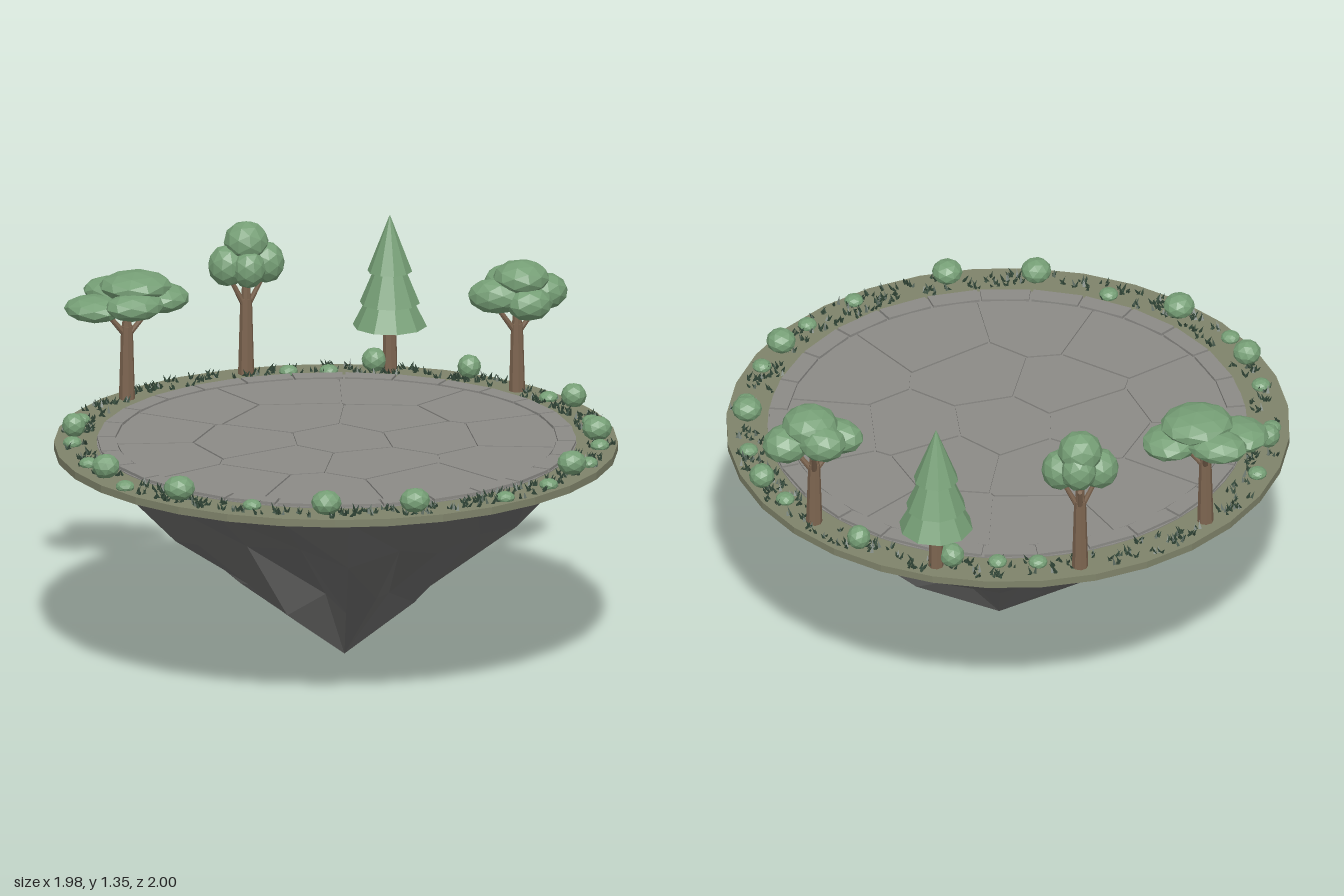
import * as THREE from 'three';
import { mergeGeometries } from 'three/addons/utils/BufferGeometryUtils.js';

const mat = (name, color) => new THREE.MeshStandardMaterial({ name, color, flatShading: true });
const rock = mat('rock', 0x6a6a69);
const soil = mat('mossy soil', 0x7f836a);
const stone = mat('paving stone', 0x8b8a86);
const leaf = mat('foliage', 0x769f76);
const bark = mat('bark', 0x7d6550);
const grassGreen = mat('grass', 0x34493a);

const TAU = Math.PI * 2;
const CZ = 0.01;      // centre of the island in z
const GROUND = 0.775; // top of the soil

function seeded(seed) {
  return () => (seed = (seed * 16807) % 2147483647) / 2147483647;
}

function add(parent, name, geometry, material, x = 0, y = 0, z = 0) {
  const m = new THREE.Mesh(geometry, material);
  m.name = name;
  m.position.set(x, y, z);
  parent.add(m);
  return m;
}

// Flat slab from [x, z] corners, standing between two heights
function slab(points, y0, y1) {
  const s = new THREE.Shape(points.map(([x, z]) => new THREE.Vector2(x, -z)));
  const g = new THREE.ExtrudeGeometry(s, { depth: y1 - y0, bevelEnabled: false });
  return g.rotateX(-Math.PI / 2).translate(0, y0, 0);
}

// Faceted underside: rings of jittered radius that meet in one point
function rockGeometry() {
  const rnd = seeded(77), n = 22, pos = [], idx = [];
  const rings = [[0.75, 0.845, 0, 0], [0.72, 0.845, 0, 0], [0.53, 0.635, 0.06, 0.05], [0.27, 0.315, 0.12, 0.16]];
  rings.forEach(([y, r, jitter, crease], k) => {
    for (let i = 0; i < n; i++) {
      const a = (i / n) * TAU;
      const f = 1 + (rnd() - 0.5) * 2 * jitter + crease * Math.sin(i * 2.1 + k);
      const drop = k > 1 ? (rnd() - 0.5) * 0.07 : 0;
      const shift = 0.03 * (1 - y / 0.75);
      pos.push(shift + Math.cos(a) * r * f, y + drop, CZ * (y / 0.75) + Math.sin(a) * r * f);
    }
  });
  pos.push(0.03, 0, 0);
  const tip = rings.length * n;
  for (let k = 0; k < rings.length; k++) {
    for (let i = 0; i < n; i++) {
      const j = (i + 1) % n, u = k * n, l = u + n;
      if (l === tip) idx.push(u + i, u + j, tip);
      else idx.push(u + i, u + j, l + i, u + j, l + j, l + i);
    }
  }
  const g = new THREE.BufferGeometry();
  g.setAttribute('position', new THREE.Float32BufferAttribute(pos, 3));
  g.setIndex(idx);
  g.computeVertexNormals();
  return g;
}

// Keep the part of a polygon on the near side of the line halfway between a and b, less half a joint
function clip(poly, a, b, gap) {
  const dx = b[0] - a[0], dz = b[1] - a[1], len = Math.hypot(dx, dz);
  const side = p => ((p[0] - a[0]) * dx + (p[1] - a[1]) * dz) / len - len / 2 + gap / 2;
  const out = [];
  poly.forEach((p, i) => {
    const q = poly[(i + 1) % poly.length], sp = side(p), sq = side(q);
    if (sp <= 0) out.push(p);
    if (sp * sq < 0) {
      const t = sp / (sp - sq);
      out.push([p[0] + (q[0] - p[0]) * t, p[1] + (q[1] - p[1]) * t]);
    }
  });
  return out;
}

// Irregular flagstones filling the round floor
function tilesGeometry() {
  const rnd = seeded(5), sites = [[0.02, 0]];
  for (const [n, r, turn] of [[6, 0.32, 0.2], [11, 0.64, 0.1]]) {
    for (let i = 0; i < n; i++) {
      const a = ((i + (rnd() - 0.5) * 0.35) / n) * TAU + turn, d = r + (rnd() - 0.5) * 0.06;
      sites.push([Math.cos(a) * d, Math.sin(a) * d]);
    }
  }
  const circle = Array.from({ length: 56 }, (_, i) => [Math.cos(i / 56 * TAU) * 0.768, Math.sin(i / 56 * TAU) * 0.768]);
  return mergeGeometries(sites.map(s => {
    let p = circle;
    for (const o of sites) if (o !== s) p = clip(p, s, o, 0.008);
    return slab(p, GROUND, 0.784);
  }));
}

// Ring of kerb stones
function kerbGeometry() {
  const n = 28, g = [];
  for (let i = 0; i < n; i++) {
    const a0 = (i / n) * TAU + 0.006, a1 = ((i + 1) / n) * TAU - 0.006;
    g.push(slab([[0.775, a0], [0.838, a0], [0.838, a1], [0.775, a1]]
      .map(([r, a]) => [Math.cos(a) * r, Math.sin(a) * r]), GROUND, 0.788));
  }
  return mergeGeometries(g);
}

// Tufts of three leaning blades scattered over the soil ring
function grassGeometry() {
  const rnd = seeded(31), g = [];
  for (let i = 0; i < 300; i++) {
    const a = rnd() * TAU, r = 0.86 + rnd() * 0.1;
    for (let k = 0; k < 3; k++) {
      const h = 0.018 + rnd() * 0.016;
      g.push(new THREE.ConeGeometry(0.007, h, 3, 1, true).translate(0, h / 2, 0)
        .rotateX(0.3 + rnd() * 0.4).rotateY(rnd() * TAU)
        .translate(Math.cos(a) * r + (rnd() - 0.5) * 0.025, GROUND - 0.002, CZ + Math.sin(a) * r + (rnd() - 0.5) * 0.025));
    }
  }
  return mergeGeometries(g);
}

function blob(parent, name, x, y, z, rx, ry, rz = rx) {
  const m = add(parent, name, new THREE.IcosahedronGeometry(1, 1), leaf, x, y, z);
  m.scale.set(rx, ry, rz);
  m.rotation.y = x * 7 + z * 3;
  return m;
}

// Tapered round limb between two points
function limb(parent, name, a, b, r0, r1) {
  const from = new THREE.Vector3(...a), dir = new THREE.Vector3(...b).sub(from), len = dir.length();
  const m = add(parent, name, new THREE.CylinderGeometry(r1, r0, len, 8), bark);
  m.position.copy(from).addScaledVector(dir, 0.5);
  m.quaternion.setFromUnitVectors(new THREE.Vector3(0, 1, 0), dir.normalize());
}

// Tree with a forked trunk; crown blobs are [dx, y, dz, rx, ry, rz]
function leafyTree(parent, name, x, z, fork, reach, crown) {
  const t = new THREE.Group();
  t.name = name;
  t.position.set(x, 0, z);
  limb(t, 'trunk', [0, GROUND - 0.01, 0], [0, fork, 0], 0.029, 0.021);
  limb(t, 'trunkTop', [0, fork - 0.01, 0], [0, fork + 0.1, 0], 0.018, 0.012);
  for (const [dx, dz] of [[-1, 0.2], [1, 0.1], [0.1, -0.8]])
    limb(t, 'branch', [0, fork - 0.04, 0], [dx * reach, fork + 0.06, dz * reach], 0.011, 0.008);
  for (const b of crown) blob(t, 'crown', ...b);
  parent.add(t);
}

export function createModel() {
  const island = new THREE.Group();
  island.name = 'floatingIsland';

  // Base and floor
  add(island, 'rockUnderside', rockGeometry(), rock);
  add(island, 'soilDisc', new THREE.CylinderGeometry(0.988, 0.988, 0.027, 32), soil, -0.002, GROUND - 0.0135, CZ);
  add(island, 'floorBed', new THREE.CylinderGeometry(0.84, 0.84, 0.004, 56), stone, 0, GROUND + 0.001, CZ);
  add(island, 'flagstones', tilesGeometry(), stone, 0, 0, CZ);
  add(island, 'kerbStones', kerbGeometry(), stone, 0, 0, CZ);
  add(island, 'grass', grassGeometry(), grassGreen);

  // Forked trees along the back
  leafyTree(island, 'umbrellaTree', -0.615, -0.67, 1.04, 0.08, [
    [0.03, 1.185, 0, 0.13, 0.05, 0.12], [-0.12, 1.115, 0.02, 0.11, 0.045, 0.1],
    [0.125, 1.13, -0.02, 0.105, 0.05, 0.1], [-0.03, 1.145, -0.09, 0.11, 0.05, 0.085],
    [0.01, 1.135, 0.09, 0.11, 0.05, 0.085]]);
  leafyTree(island, 'roundTree', -0.145, -0.9, 1.05, 0.05, [
    [0, 1.255, 0, 0.08, 0.075], [-0.07, 1.175, 0.01, 0.068, 0.075],
    [0.07, 1.18, 0.01, 0.065, 0.075], [0, 1.17, 0.05, 0.06, 0.07], [0.01, 1.2, -0.035, 0.065, 0.075]]);
  leafyTree(island, 'broadTree', 0.745, -0.51, 1.02, 0.07, [
    [0.015, 1.185, 0, 0.1, 0.062, 0.1], [-0.08, 1.125, 0.01, 0.1, 0.062, 0.07],
    [0.1, 1.125, -0.02, 0.09, 0.065, 0.08], [-0.02, 1.15, -0.07, 0.085, 0.065, 0.075],
    [0.035, 1.105, 0.06, 0.085, 0.06, 0.07]]);

  // Conifer of stacked cones
  const conifer = new THREE.Group();
  conifer.name = 'conifer';
  conifer.position.set(0.355, 0, -0.835);
  limb(conifer, 'trunk', [0, GROUND - 0.01, 0], [0, 0.97, 0], 0.027, 0.022);
  for (const [r, y, top] of [[0.131, 0.942, 1.2], [0.106, 1.025, 1.28], [0.079, 1.14, 1.345]])
    add(conifer, 'needleTier', new THREE.ConeGeometry(r, top - y, 10), leaf, 0, (y + top) / 2, 0);
  island.add(conifer);

  // Round bushes
  for (const [x, z, r] of [[-0.88, 0.30, 0.05], [-0.68, 0.62, 0.056], [-0.21, 0.9, 0.054], [0.1, 0.93, 0.054],
    [0.73, 0.57, 0.052], [0.9, 0.16, 0.053], [0.9, -0.265, 0.045], [-0.89, -0.23, 0.042], [0.61, -0.69, 0.042],
    [0.3, -0.84, 0.045]])
    blob(island, 'bush', x, 0.818, z, r, 0.044);

  // Low shrubs
  for (const [x, z] of [[-0.83, -0.41], [-0.915, -0.13], [-0.91, 0.14], [-0.84, 0.45], [-0.45, 0.77], [0.44, 0.84],
    [0.62, 0.71], [0.81, 0.47], [0.89, 0.26], [0.92, -0.05], [0.83, -0.37], [0.14, -0.85], [0, -0.87]])
    blob(island, 'shrub', x, 0.784, z, 0.034, 0.022);

  return island;
}
